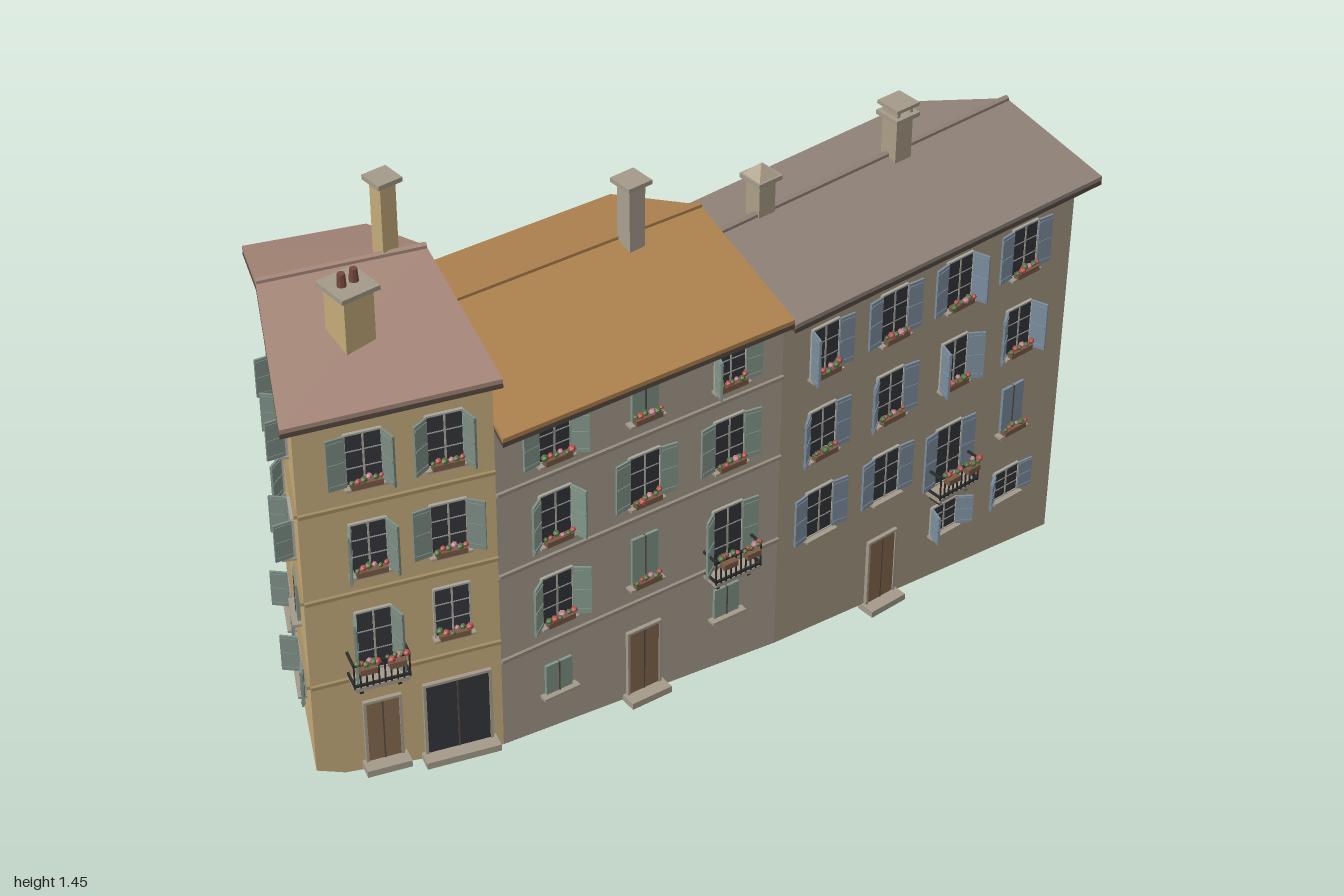
import * as THREE from 'three';
import { ConvexGeometry } from 'three/addons/geometries/ConvexGeometry.js';

const mat = (color, side = THREE.FrontSide) => new THREE.MeshStandardMaterial({ color, side, flatShading: true });
const M = {
  glass: mat(0x33363b), frame: mat(0xa9a69c), stone: mat(0xa39a8a), door: mat(0x85694e), gate: mat(0x33353a),
  iron: mat(0x2b2b2b), wood: mat(0x584a42), box: mat(0x7a5a45), pot: mat(0x75483c),
  leaf: mat(0x55703f), red: mat(0xb4504c), pink: mat(0xc0808c),
};
const unit = new THREE.BoxGeometry(1, 1, 1);
const bloom = new THREE.IcosahedronGeometry(1, 0);

let seed = 7;
const rnd = () => (seed = (seed * 16807) % 2147483647) / 2147483647;

function box(parent, name, w, h, d, m, x, y, z) {
  const b = new THREE.Mesh(unit, m);
  b.name = name;
  b.scale.set(w, h, d);
  b.position.set(x, y, z);
  parent.add(b);
  return b;
}
function group(parent, name, x = 0, y = 0, z = 0) {
  const g = new THREE.Group();
  g.name = name;
  g.position.set(x, y, z);
  parent.add(g);
  return g;
}
function flowers(parent, w, y, z) {
  for (let i = 0; i < 6; i++) {
    const f = new THREE.Mesh(bloom, [M.leaf, M.red, M.leaf, M.pink][i % 4]);
    f.name = 'flower';
    f.scale.setScalar(0.005 + rnd() * 0.004);
    f.position.set((i / 5 - 0.5) * w, y + rnd() * 0.008, z + (rnd() - 0.5) * 0.01);
    parent.add(f);
  }
}

// Flat wall between two ground corners [x, z, groundY], with optional gable apex
function wall(parent, name, a, b, top, m, { apex = 0, low, mids = [] } = {}) {
  const P = (t, y) => [a[0] + (b[0] - a[0]) * t, y, a[1] + (b[1] - a[1]) * t];
  const pts = [P(0, top), P(0, low ?? a[2]), ...mids.map(([t, y]) => P(t, y)), P(1, low ?? b[2]), P(1, top)];
  if (apex) pts.push(P(0.5, apex));
  const v = [];
  for (let i = 1; i < pts.length - 1; i++) v.push(...pts[0], ...pts[i], ...pts[i + 1]);
  const g = new THREE.BufferGeometry();
  g.setAttribute('position', new THREE.Float32BufferAttribute(v, 3));
  g.computeVertexNormals();
  const mesh = new THREE.Mesh(g, m);
  mesh.name = name;
  parent.add(mesh);
}

// Group lying on a wall: local x runs along it, local z points outward
function facade(parent, name, a, b, axis = 0) {
  const f = group(parent, name, a[0], 0, a[1]);
  const dx = b[0] - a[0], dz = b[1] - a[1];
  f.rotation.y = Math.atan2(-dz, dx);
  const len = Math.hypot(dx, dz);
  return { f, len, at: c => ((c - a[axis]) / (b[axis] - a[axis])) * len };
}

function slab(parent, name, pts, top, t, m) {
  const p = pts.flatMap(([x, y, z]) => [new THREE.Vector3(x, y - top, z), new THREE.Vector3(x, y - top - t, z)]);
  const s = new THREE.Mesh(new ConvexGeometry(p), m);
  s.name = name;
  parent.add(s);
}

// Pitched roof from eave corners (front left, front right, back right, back left) and ridge ends
function roof(parent, [fl, fr, br, bl], [l, r], eave, ridge, m) {
  const g = group(parent, 'roof');
  const E = p => [p[0], eave, p[1]], R = p => [p[0], ridge, p[1]];
  for (const pts of [[E(fl), E(fr), R(r), R(l)], [E(bl), E(br), R(r), R(l)]]) {
    slab(g, 'roofTiles', pts, 0, 0.01, m);
    slab(g, 'eaveBoards', pts, 0.01, 0.011, M.wood);
  }
  const A = new THREE.Vector3(...R(l)), B = new THREE.Vector3(...R(r));
  const cap = new THREE.Mesh(new THREE.TubeGeometry(new THREE.LineCurve3(A, B), 1, 0.008, 6), m);
  cap.name = 'ridgeCap';
  g.add(cap);
}

function balcony(g, h) {
  const y = -h / 2 - 0.012, w = 0.115, d = 0.045;
  box(g, 'balconyFloor', w, 0.01, d, M.stone, 0, y, d / 2);
  for (const s of [0.012, 0.065]) {
    box(g, 'rail', w, 0.005, 0.005, M.iron, 0, y + s, d);
    for (const e of [-1, 1]) box(g, 'sideRail', 0.005, 0.005, d, M.iron, e * w / 2, y + s, d / 2);
  }
  for (let i = 0; i <= 9; i++) box(g, 'baluster', 0.003, 0.06, 0.003, M.iron, (i / 9 - 0.5) * w, y + 0.035, d);
  for (const e of [-1, 1]) {
    box(g, 'bracket', 0.008, 0.02, 0.03, M.iron, e * 0.04, y - 0.014, 0.015);
    box(g, 'planter', 0.035, 0.014, 0.016, M.box, e * 0.03, y + 0.055, d + 0.008);
    const p = group(g, 'plants', e * 0.03, 0, 0);
    flowers(p, 0.04, y + 0.07, d + 0.008);
  }
}

// kind: open shutters, closed shutters, bare, or balcony; boxed adds a flower box
function windowUnit(F, c, y, kind, shut, { w = 0.075, h = 0.12, boxed = false } = {}) {
  const g = group(F.f, 'window', F.at(c), y, 0);
  if (kind === 'closed') {
    box(g, 'closedShutters', w * 0.85, h, 0.014, shut, 0, 0, 0);
    box(g, 'shutterGap', 0.003, h, 0.017, M.wood, 0, 0, 0);
  } else {
    box(g, 'glass', w, h, 0.008, M.glass, 0, 0, 0);
    for (const s of [-1, 1]) {
      box(g, 'jamb', 0.004, h, 0.013, M.frame, s * w / 2, 0, 0);
      box(g, 'head', w, 0.004, 0.013, M.frame, 0, s * h / 2, 0);
    }
    box(g, 'mullion', 0.004, h, 0.011, M.frame, 0, 0, 0);
    for (const s of [-1, 1]) box(g, 'glazingBar', w, 0.0025, 0.01, M.frame, 0, s * h / 6, 0);
  }
  if (kind === 'open' || kind === 'balcony') for (const s of [-1, 1]) {
    const hinge = group(g, 'shutter', s * w / 2, 0, 0.006);
    hinge.rotation.y = -s * [0.1, 0.15, 0.6, 1.25][Math.floor(rnd() * 4)];
    box(hinge, 'shutterLeaf', 0.038, h, 0.005, shut, s * 0.019, 0, 0);
    for (const k of [-1, 0, 1]) box(hinge, 'shutterRail', 0.034, 0.005, 0.008, shut, s * 0.019, k * h * 0.42, 0);
  }
  if (kind === 'balcony') return balcony(g, h);
  box(g, 'sill', w + 0.012, 0.006, 0.022, M.stone, 0, -h / 2 - 0.003, 0.008);
  if (boxed) {
    box(g, 'flowerBox', w * 0.85, 0.013, 0.014, M.box, 0, -h / 2 + 0.006, 0.016);
    flowers(g, w * 0.8, -h / 2 + 0.014, 0.017);
  }
}
const windows = (F, xs, ys, kind, shut, o) => { for (const x of xs) for (const y of ys) windowUnit(F, x, y, kind, shut, o); };

function door(F, c, y0, y1, w, m) {
  const g = group(F.f, 'door', F.at(c), (y0 + y1) / 2, 0), h = y1 - y0;
  box(g, 'doorLeaf', w, h, 0.012, m, 0, 0, 0);
  for (const s of [-1, 1]) box(g, 'doorPost', 0.006, h, 0.018, M.stone, s * w / 2, 0, 0);
  box(g, 'lintel', w + 0.006, 0.006, 0.018, M.stone, 0, h / 2, 0);
  box(g, 'doorSplit', 0.003, h, 0.015, M.wood, 0, 0, 0);
  box(g, 'step', w + 0.02, 0.016, 0.045, M.stone, 0, -h / 2 - 0.008, 0.014);
}
const courses = (F, ys, m) => { for (const y of ys) box(F.f, 'stringCourse', F.len, 0.008, 0.014, m, F.len / 2, y, 0); };

function chimney(parent, x, z, w, y0, y1, m, cap) {
  const g = group(parent, 'chimney', x, 0, z);
  box(g, 'stack', w, y1 - y0, w, m, 0, (y0 + y1) / 2, 0);
  box(g, 'chimneyCap', w + 0.02, 0.01, w + 0.02, M.stone, 0, y1, 0);
  if (cap === 'pots') for (const s of [-1, 1]) {
    const p = new THREE.Mesh(new THREE.CylinderGeometry(0.008, 0.01, 0.03, 8), M.pot);
    p.name = 'chimneyPot';
    p.position.set(s * 0.014, y1 + 0.018, 0);
    g.add(p);
  }
  if (cap === 'pyramid') {
    const p = new THREE.Mesh(new THREE.ConeGeometry(w * 0.95, 0.03, 4).rotateY(Math.PI / 4), m);
    p.name = 'chimneyHood';
    p.position.y = y1 + 0.018;
    g.add(p);
  }
  if (cap === 'raised') {
    for (const s of [-1, 1]) box(g, 'capLeg', 0.008, 0.02, w, m, s * w * 0.4, y1 + 0.012, 0);
    box(g, 'topSlab', w + 0.018, 0.008, w + 0.018, M.stone, 0, y1 + 0.025, 0);
  }
}

export function createModel() {
  const root = new THREE.Group();
  root.name = 'townhouseRow';
  const D = THREE.DoubleSide;

  // Tall house at the left end of the row
  const A = group(root, 'tallHouse'), wa = mat(0xc4ab7a, D), sa = mat(0x7d8d84), ca = mat(0xa38c62);
  const aFL = [-0.96, 0.155, 0.27], aFR = [-0.58, 0.277, 0.21], aBR = [-0.48, -0.245, 0.17], aBL = [-0.7, -0.325, 0.185];
  wall(A, 'frontWall', aFL, aFR, 1.145, wa, { mids: [[0.15, 0.245]] });
  wall(A, 'rightGable', aFR, aBR, 1.145, wa, { apex: 1.265, low: 0.9 });
  wall(A, 'backWall', aBR, aBL, 1.145, wa);
  wall(A, 'leftGable', aBL, aFL, 1.145, wa, { apex: 1.265, mids: [[0.5, 0.215]] });
  roof(A, [[-1, 0.18], [-0.58, 0.312], [-0.47, -0.29], [-0.71, -0.38]], [[-0.855, -0.1], [-0.53, 0.005]], 1.16, 1.284, mat(0xa58677));
  const af = facade(A, 'frontFacade', aFL, aFR), ab = facade(A, 'backFacade', aBR, aBL), al = facade(A, 'sideFacade', aBL, aFL, 1);
  for (const F of [af, ab, al]) courses(F, [0.92, 0.705, 0.49], ca);
  windows(af, [-0.83, -0.675], [1.03, 0.815], 'open', sa, { boxed: true });
  windowUnit(af, -0.675, 0.605, 'bare', sa, { boxed: true });
  windowUnit(af, -0.83, 0.58, 'balcony', sa, { h: 0.15 });
  door(af, -0.823, 0.265, 0.42, 0.075, M.door);
  door(af, -0.672, 0.245, 0.425, 0.14, M.gate);
  windowUnit(ab, -0.585, 1.02, 'bare', sa, { h: 0.09, w: 0.06 });
  windowUnit(ab, -0.585, 0.4, 'open', sa, { h: 0.08, w: 0.06 });
  windows(al, [-0.175, 0.01], [1.02, 0.77, 0.41], 'open', sa, { h: 0.09 });
  windows(al, [-0.175, 0.01], [0.6], 'closed', sa, { h: 0.09 });
  chimney(A, -0.767, 0.085, 0.068, 1.19, 1.335, wa, 'pots');
  chimney(A, -0.597, -0.035, 0.036, 1.2, 1.445, wa);

  // Middle house
  const B = group(root, 'middleHouse'), wb = mat(0xaaa092, D), sb = mat(0x82968a), cb = mat(0x978d80);
  const bFL = [-0.58, 0.277, 0.21], bFR = [0.115, 0.33, 0.145], bBR = [0.115, -0.185, 0.085], bBL = [-0.48, -0.237, 0.168];
  wall(B, 'frontWall', bFL, bFR, 1.015, wb);
  wall(B, 'rightGable', bFR, bBR, 1.015, wb, { apex: 1.125, low: 0.9 });
  wall(B, 'rightReturn', [0.115, -0.07, 0.09], bBR, 1.015, wb);
  wall(B, 'backWall', bBR, bBL, 1.015, wb, { mids: [[0.5, 0.135]] });
  roof(B, [[-0.585, 0.312], [0.113, 0.365], [0.118, -0.235], [-0.47, -0.28]], [[-0.53, 0.015], [0.116, 0.062]], 1.02, 1.143, mat(0xb0834f));
  const bf = facade(B, 'frontFacade', bFL, bFR), bb = facade(B, 'backFacade', bBR, bBL);
  for (const F of [bf, bb]) courses(F, [0.86, 0.655, 0.435], cb);
  windows(bf, [-0.445, -0.02], [0.945], 'open', sb, { h: 0.095, boxed: true });
  windowUnit(bf, -0.23, 0.95, 'closed', sb, { h: 0.09, boxed: true });
  windows(bf, [-0.445, -0.23, -0.02], [0.755], 'open', sb, { boxed: true });
  windowUnit(bf, -0.445, 0.545, 'open', sb, { boxed: true });
  windowUnit(bf, -0.23, 0.545, 'closed', sb, { boxed: true });
  windowUnit(bf, -0.02, 0.51, 'balcony', sb, { h: 0.15 });
  windows(bf, [-0.445, -0.02], [0.335], 'closed', sb, { h: 0.075 });
  door(bf, -0.232, 0.195, 0.36, 0.08, M.door);
  windows(bb, [-0.05], [0.95, 0.31], 'open', sb, { h: 0.09 });
  windows(bb, [-0.05], [0.73, 0.52], 'closed', sb, { h: 0.09 });
  windows(bb, [-0.335], [0.95, 0.51], 'open', sb, { h: 0.09 });
  windowUnit(bb, -0.335, 0.73, 'closed', sb, { h: 0.09 });
  chimney(B, -0.072, 0.07, 0.04, 1.08, 1.28, wb);

  // Long house at the right end of the row
  const C = group(root, 'longHouse'), wc = mat(0xaa9e86, D), sc = mat(0x7b8d9d);
  const cFL = [0.115, 0.33, 0.145], cFR = [0.96, 0.32, 0.045], cBR = [0.875, -0.08, 0], cBL = [0.115, -0.09, 0.09];
  wall(C, 'frontWall', cFL, cFR, 0.995, wc);
  wall(C, 'rightGable', cFR, cBR, 0.995, wc, { apex: 1.085, mids: [[0.1, 0.03]] });
  wall(C, 'backWall', cBR, cBL, 0.995, wc, { mids: [[0.2, 0.035], [0.5, 0.07]] });
  roof(C, [[0.118, 0.362], [1, 0.358], [0.895, -0.13], [0.118, -0.12]], [[0.118, 0.12], [0.945, 0.112]], 1.003, 1.105, mat(0x92847a));
  const cf = facade(C, 'frontFacade', cFL, cFR), cb2 = facade(C, 'backFacade', cBR, cBL), cr = facade(C, 'sideFacade', cFR, cBR, 1);
  windows(cf, [0.23, 0.425, 0.615, 0.81], [0.88, 0.67], 'open', sc, { boxed: true });
  windows(cf, [0.23, 0.425], [0.457], 'open', sc);
  windowUnit(cf, 0.615, 0.425, 'balcony', sc, { h: 0.15 });
  windowUnit(cf, 0.81, 0.457, 'closed', sc, { boxed: true });
  windows(cf, [0.615, 0.81], [0.247], 'open', sc, { h: 0.075 });
  door(cf, 0.425, 0.115, 0.285, 0.08, M.door);
  windows(cr, [0.118], [0.862, 0.44], 'closed', sc, { h: 0.085 });
  windows(cr, [0.118], [0.65, 0.248], 'open', sc, { h: 0.08, w: 0.065 });
  windows(cb2, [0.7, 0.2], [0.89], 'open', sc, { h: 0.085, w: 0.065 });
  windows(cb2, [0.7, 0.435, 0.2], [0.67, 0.455], 'open', sc, { h: 0.085, w: 0.065 });
  windows(cb2, [0.7, 0.435], [0.25], 'closed', sc, { h: 0.08 });
  chimney(C, 0.24, 0.108, 0.043, 1.04, 1.185, wc, 'pyramid');
  chimney(C, 0.61, 0.12, 0.045, 1.04, 1.2, wc, 'raised');

  return root;
}
